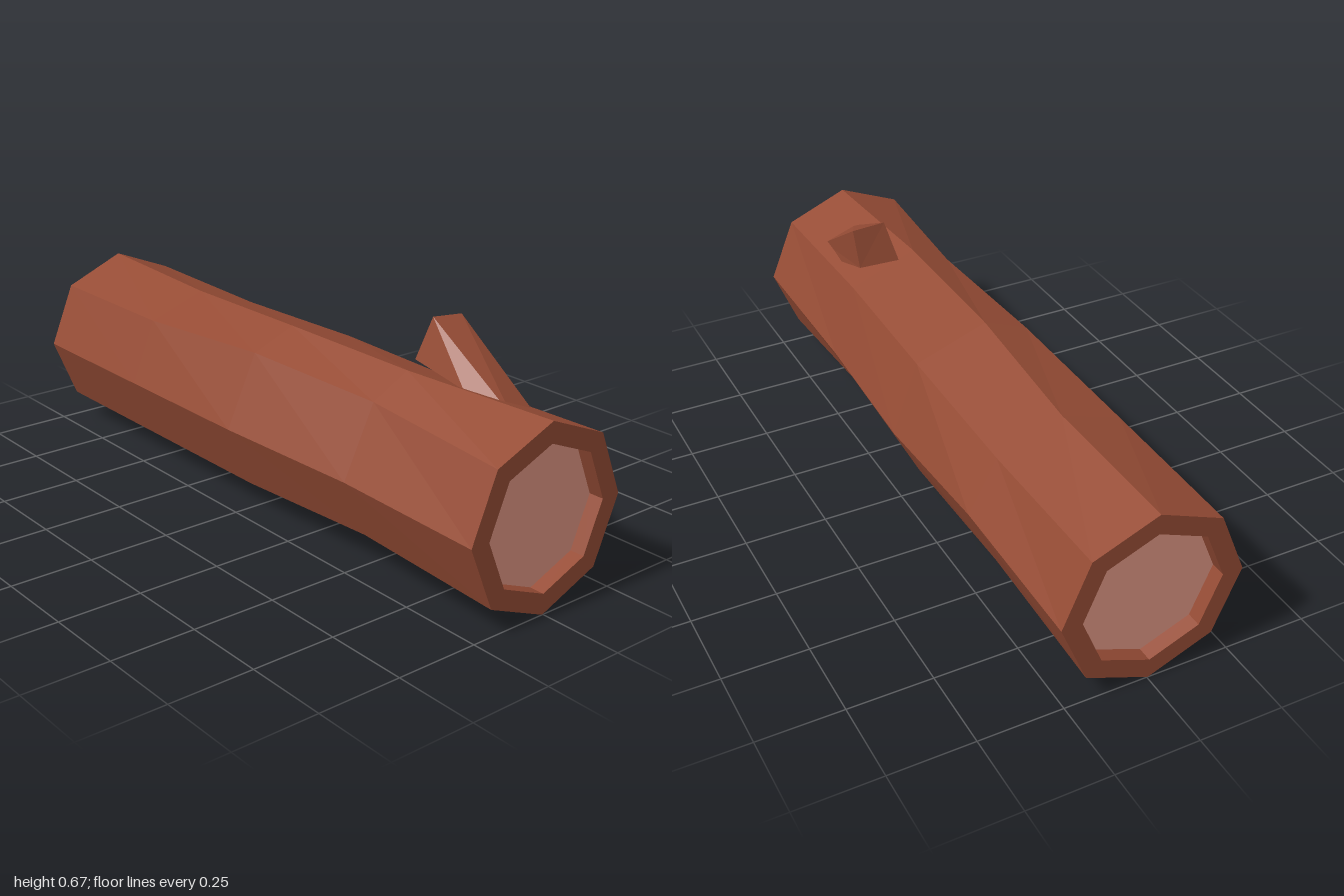
import * as THREE from 'three';

// Skins a series of equal-length rings (clockwise seen from the front, running front to back)
function loft(rings, capEnd = false) {
  const pos = [];
  const tri = (...pts) => pts.forEach((p) => pos.push(...p));
  for (let i = 0; i < rings.length - 1; i++) {
    const r = rings[i], s = rings[i + 1], n = r.length;
    for (let j = 0; j < n; j++) {
      const k = (j + 1) % n;
      tri(r[j], r[k], s[k]);
      tri(r[j], s[k], s[j]);
    }
  }
  if (capEnd) {
    const e = rings[rings.length - 1];
    for (let j = 1; j < e.length - 1; j++) tri(e[0], e[j], e[j + 1]);
  }
  const g = new THREE.BufferGeometry();
  g.setAttribute('position', new THREE.Float32BufferAttribute(pos, 3));
  g.computeVertexNormals();
  return g;
}

const CX = -0.003, CY = 0.271, OUTER = 0.27, INNER = 0.209, RECESS = 0.045;

// Octagon ring starting at the top; moved = corner index -> [x, y] for the gnarled corners
function octagon(radius, z, moved = {}) {
  return Array.from({ length: 8 }, (_, j) => {
    const a = (j * Math.PI) / 4;
    const [x, y] = moved[j] || [CX + radius * Math.sin(a), CY + radius * Math.cos(a)];
    return [x, y, z];
  });
}

export function createModel() {
  const group = new THREE.Group();
  group.name = 'log';
  const bark = new THREE.MeshStandardMaterial({ color: 0x964c35, flatShading: true });
  bark.name = 'bark';
  const wood = new THREE.MeshStandardMaterial({ color: 0xdf9684, flatShading: true });
  wood.name = 'cutWood';
  const add = (name, geometry, material) => {
    const mesh = new THREE.Mesh(geometry, material);
    mesh.name = name;
    group.add(mesh);
    return mesh;
  };

  // Trunk, including the end rims and the short recess walls
  const end = 1 - RECESS;
  add('trunk', loft([
    octagon(INNER, end),
    octagon(INNER, 1),
    octagon(OUTER, 1),
    octagon(OUTER, 0.5, {
      0: [-0.035, 0.541], 1: [0.175, 0.458], 2: [0.247, 0.235], 3: [0.175, 0.1],
      4: [-0.003, 0.02], 5: [-0.18, 0.095], 6: [-0.255, 0.271], 7: [-0.155, 0.478],
    }),
    octagon(OUTER, 0, { 0: [-0.035, 0.541], 2: [0.267, 0.24], 7: [-0.173, 0.486] }),
    octagon(OUTER, -0.5, {
      0: [-0.01, 0.525], 1: [0.188, 0.45], 2: [0.272, 0.288], 3: [0.185, 0.095], 4: [-0.003, 0.01],
    }),
    octagon(OUTER, -1),
    octagon(INNER, -1),
    octagon(INNER, -end),
  ]), bark);

  // Sawn faces set back inside each end
  for (const side of [1, -1]) {
    const face = add(side > 0 ? 'frontCut' : 'backCut', new THREE.CircleGeometry(INNER, 8), wood);
    face.position.set(CX, CY, side * end);
    if (side < 0) face.rotation.y = Math.PI;
  }

  // Branch stub leaning backwards, its base sunk into the trunk
  add('branchStub', loft([
    [[0.03, 0.492, 0.83], [0.138, 0.453, 0.83], [0.148, 0.463, 0.674], [0.003, 0.527, 0.677]],
    [[0.067, 0.669, 0.487], [0.169, 0.66, 0.493], [0.16, 0.54, 0.47], [0.035, 0.545, 0.455]],
  ], true), bark);

  return group;
}
